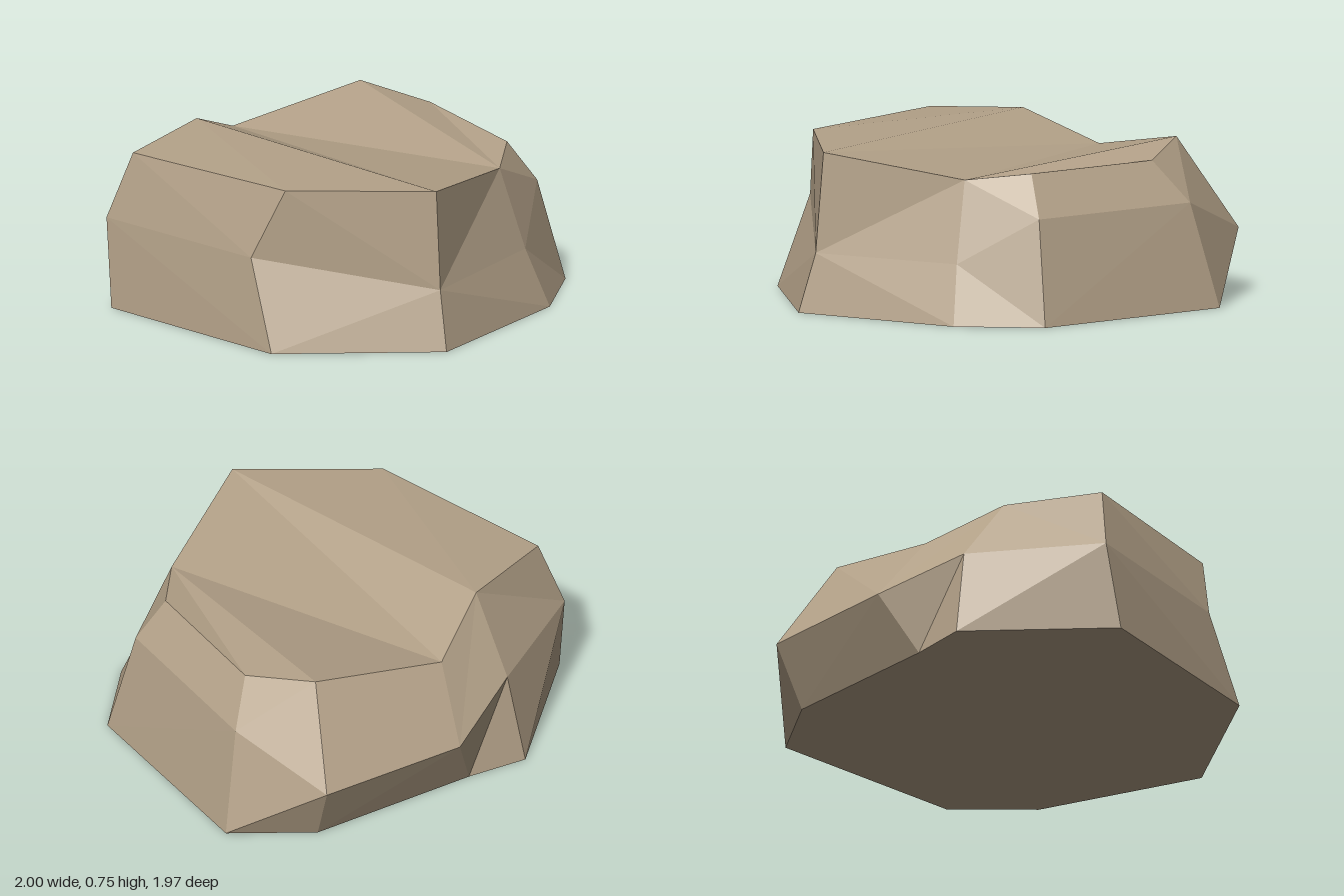
import * as THREE from 'three';

// Cross-section loops of the boulder, counter-clockwise from above: [x, y, z]
const base = [
  [-0.88, 0, 0.49], [-0.25, 0, 0.98], [0.54, 0, 0.77], [0.86, 0, 0.5], [1, 0, -0.48],
  [0.68, 0, -0.75], [-0.12, 0, -0.88], [-0.4, 0, -0.95], [-1, 0, -0.5],
];
const waist = [
  [-0.85, 0.41, 0.31], [-0.22, 0.27, 0.9], [0.47, 0.27, 0.68], [0.75, 0.48, 0.43], [0.88, 0.48, -0.41],
  [0.73, 0.3, -0.87], [0.03, 0.3, -0.99], [-0.37, 0.43, -0.86], [-0.97, 0.41, -0.57],
];
const rim = [
  [-0.73, 0.73, 0.41], [-0.21, 0.73, 0.86], [0.41, 0.64, 0.57], [0.63, 0.67, 0.36], [0.735, 0.67, -0.31],
  [0.58, 0.73, -0.62], [-0.06, 0.61, -0.76], [-0.4, 0.755, -0.61], [-0.88, 0.72, -0.49],
];

// Joins two loops; each character says which way that panel's crease runs
function band(low, up, creases) {
  const tris = [];
  low.forEach((a, i) => {
    const j = (i + 1) % low.length;
    const b = low[j], c = up[j], d = up[i];
    if (creases[i] === '/') tris.push(a, b, c, a, c, d);
    else tris.push(a, b, d, b, c, d);
  });
  return tris;
}

function facets(name, corners, material) {
  const geometry = new THREE.BufferGeometry();
  geometry.setAttribute('position', new THREE.Float32BufferAttribute(corners.flat(), 3));
  geometry.computeVertexNormals();
  const mesh = new THREE.Mesh(geometry, material);
  mesh.name = name;
  return mesh;
}

export function createModel() {
  const group = new THREE.Group();
  group.name = 'boulder';
  const stone = new THREE.MeshStandardMaterial({ color: 0xb3a188 });
  stone.name = 'tan stone';

  // Faceted sides
  group.add(facets('lowerSides', band(base, waist, '/\\\\/////\\'), stone));
  group.add(facets('upperSides', band(waist, rim, '\\/\\//\\/\\\\'), stone));

  // Gently dished top, creased across the rim
  const creases = [[0, 1, 7], [0, 7, 8], [1, 6, 7], [1, 2, 6], [2, 5, 6], [2, 4, 5], [2, 3, 4]];
  group.add(facets('top', creases.flat().map((i) => rim[i]), stone));

  // Flat underside
  const under = [];
  for (let i = 1; i < base.length - 1; i++) under.push(base[0], base[i + 1], base[i]);
  group.add(facets('underside', under, stone));

  return group;
}
